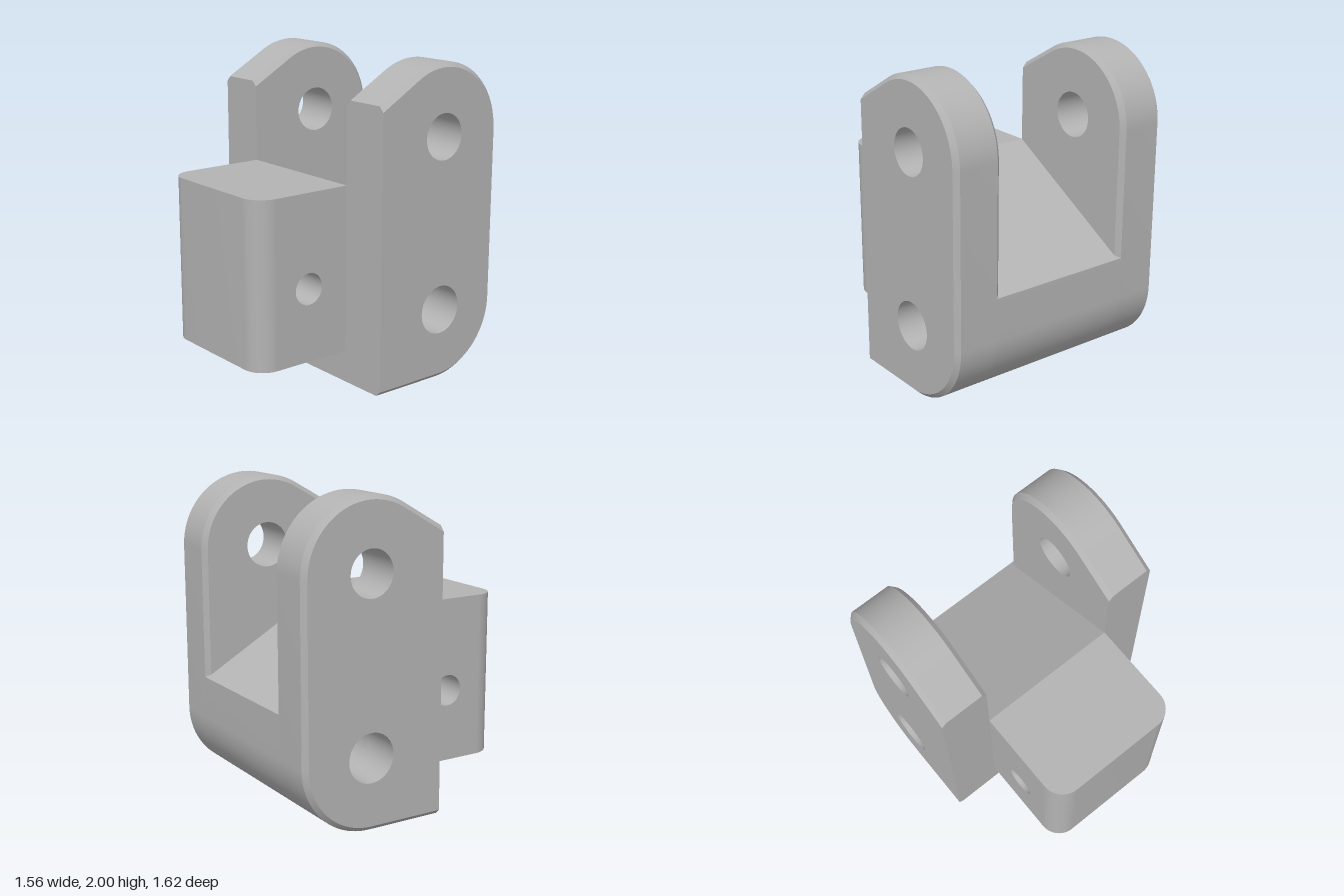
import * as THREE from 'three';
import { toCreasedNormals } from 'three/addons/utils/BufferGeometryUtils.js';

const FRONT = 0.14, BACK = -0.81, R = 0.455, CZ = BACK + R, TOP = 2 - R, CHAMFER = 0.03;
const HALF = 0.46, OUTER = 0.78;
const V = (z, y) => new THREE.Vector2(z, y);

// Points of an arc in the side (z, y) plane, angles in degrees
function arc(z, y, r, from, to, n) {
  return Array.from({ length: n + 1 }, (_, i) => {
    const a = THREE.MathUtils.degToRad(from + (to - from) * i / n);
    return V(z + r * Math.cos(a), y + r * Math.sin(a));
  });
}

// Round hole, running opposite to the outlines
const hole = (z, y, r) => arc(z, y, r, 0, 360, 48).slice(0, -1);

// Side outline of an ear; the inset leaves the flat front edge in place
function earOutline(inset) {
  const r = R - inset;
  const slantEnd = TOP + (r - 0.5 * (FRONT - CZ)) / Math.cos(Math.PI / 6);
  return [
    V(FRONT, inset),
    ...arc(CZ, R, r, 270, 180, 24),
    ...arc(CZ, TOP, r, 180, 60, 32),
    V(FRONT, slantEnd),
  ];
}

// Solid lofted along x through side outlines, pierced by straight holes
function loft(rings, holes) {
  const pos = [];
  const put = (x, p) => pos.push(x, p.y, p.x);
  const wall = (xa, a, xb, b) => a.forEach((p, j) => {
    const k = (j + 1) % a.length;
    put(xa, p); put(xa, a[k]); put(xb, b[k]);
    put(xa, p); put(xb, b[k]); put(xb, b[j]);
  });
  for (let i = 0; i + 1 < rings.length; i++) {
    wall(rings[i].x, rings[i].pts, rings[i + 1].x, rings[i + 1].pts);
  }
  const first = rings[0], last = rings[rings.length - 1];
  holes.forEach((h) => wall(first.x, h, last.x, h));
  for (const [ring, side] of [[first, -1], [last, 1]]) {
    const all = [...ring.pts, ...holes.flat()];
    for (const t of THREE.ShapeUtils.triangulateShape(ring.pts, holes)) {
      const tri = t.map((i) => all[i]);
      if (THREE.ShapeUtils.area(tri) * side > 0) tri.reverse();
      tri.forEach((p) => put(ring.x, p));
    }
  }
  const geo = new THREE.BufferGeometry();
  geo.setAttribute('position', new THREE.Float32BufferAttribute(pos, 3));
  return toCreasedNormals(geo, 0.4);
}

export function createModel() {
  const group = new THREE.Group();
  group.name = 'clevisBracket';
  const grey = new THREE.MeshStandardMaterial({ color: 0xb3b3b3 });
  grey.name = 'plain grey';
  const add = (name, geo) => {
    const mesh = new THREE.Mesh(geo, grey);
    mesh.name = name;
    group.add(mesh);
  };

  const pivotHole = hole(CZ, 1.55, 0.145);
  const lowerHole = hole(CZ, R, 0.155);

  // Two chamfered ears
  const layers = [[HALF, CHAMFER], [HALF + CHAMFER, 0], [OUTER - CHAMFER, 0], [OUTER, CHAMFER]];
  for (const [name, s] of [['leftEar', 1], ['rightEar', -1]]) {
    const rings = layers.map(([x, inset]) => ({ x: s * x, pts: earOutline(inset) }));
    if (s < 0) rings.reverse();
    add(name, loft(rings, [pivotHole, lowerHole]));
  }

  // Middle web with its top sloping down to the back
  const web = [
    V(FRONT, 0),
    ...arc(CZ, R, R, 270, 180, 24),
    V(BACK, 0.72),
    V(FRONT, 1.265),
  ];
  const webHalf = HALF + CHAMFER;
  add('slopedWeb', loft([{ x: -webHalf, pts: web }, { x: webHalf, pts: web }], [lowerHole]));

  // Front lug with rounded upright corners and a cross hole
  const radius = 0.14, lugFront = 0.81, n = 14;
  const lugRing = (x, z) => ({
    x, pts: [V(z, 0.205), V(FRONT, 0.205), V(FRONT, 1.265), V(z, 1.265)],
  });
  const corner = Array.from({ length: n + 1 }, (_, i) => {
    const a = (i / n) * Math.PI / 2;
    return [HALF - radius + radius * Math.cos(a), lugFront - radius + radius * Math.sin(a)];
  });
  const lugRings = [
    ...corner.map(([x, z]) => lugRing(-x, z)),
    ...corner.reverse().map(([x, z]) => lugRing(x, z)),
  ];
  add('frontLug', loft(lugRings, [hole(0.43, 0.67, 0.1)]));

  return group;
}
